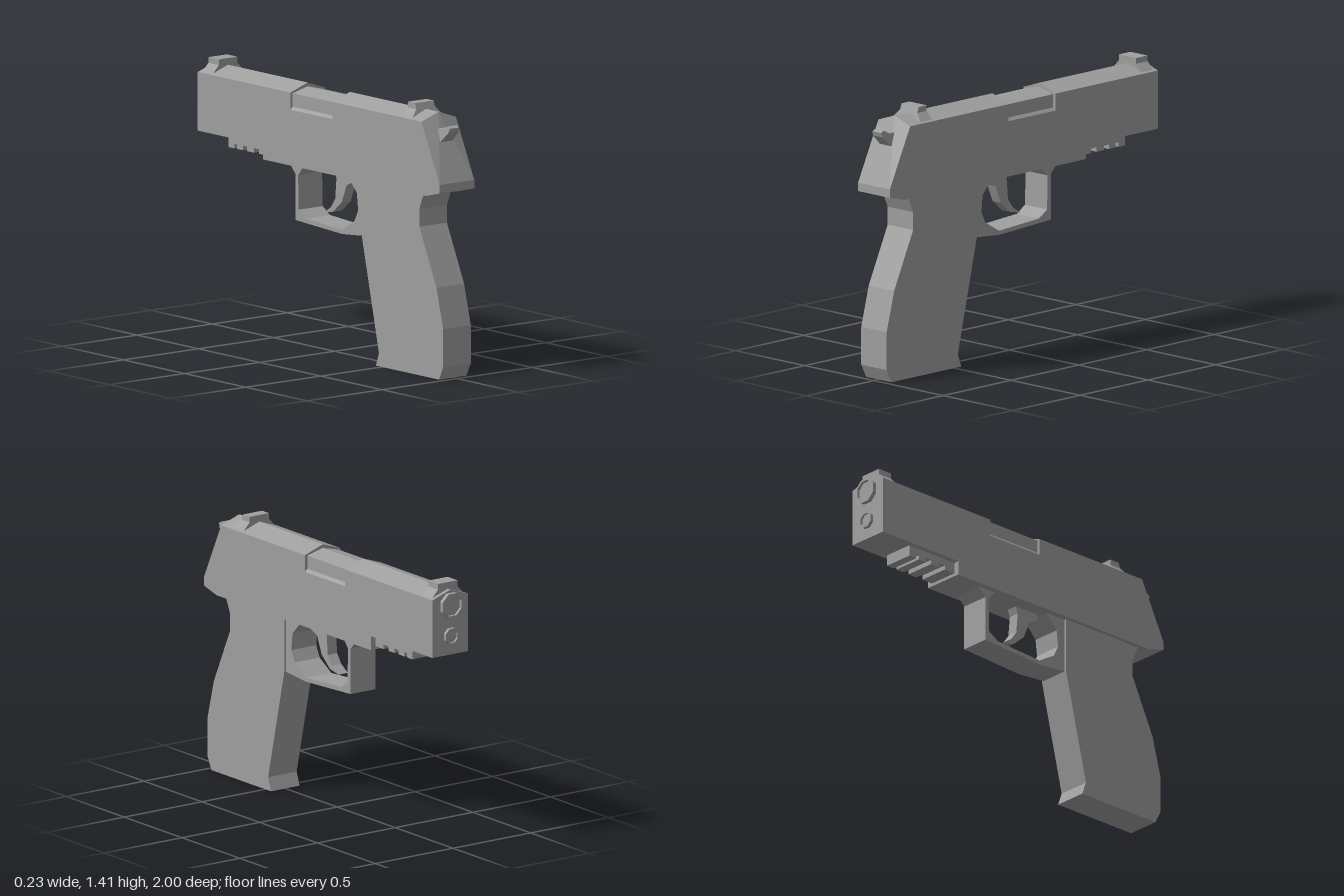
import * as THREE from 'three';
import { ConvexGeometry } from 'three/addons/geometries/ConvexGeometry.js';

export function createModel() {
  const model = new THREE.Group();
  const mat = new THREE.MeshStandardMaterial({ color: 0x9f9f9f, flatShading: true });

  const add = (name, geo) => {
    const mesh = new THREE.Mesh(geo, mat);
    mesh.name = name;
    model.add(mesh);
    return mesh;
  };
  const shapeOf = (pts) => new THREE.Shape(pts.map(([a, b]) => new THREE.Vector2(a, b)));

  // Side profile given as [z, y], extruded across x and centred
  const sideProfile = (name, pts, halfWidth) => {
    const geo = new THREE.ExtrudeGeometry(shapeOf(pts), { depth: halfWidth * 2, bevelEnabled: false });
    geo.translate(0, 0, -halfWidth);
    geo.rotateY(-Math.PI / 2);
    return add(name, geo);
  };

  // Half cross-section given as [x, y], mirrored and run from z0 to z1; lean slopes the rear end
  const crossSection = (name, half, z0, z1, lean = 0) => {
    const mirrored = half.filter(([x]) => x > 0).map(([x, y]) => [-x, y]).reverse();
    const geo = new THREE.ExtrudeGeometry(shapeOf([...half, ...mirrored]), { depth: z1 - z0, bevelEnabled: false });
    geo.translate(0, 0, z0);
    const p = geo.attributes.position;
    for (let i = 0; i < p.count; i++) {
      if (p.getZ(i) > z1 - 1e-4) p.setZ(i, z1 - lean * (p.getY(i) - half[0][1]));
    }
    geo.computeVertexNormals();
    return add(name, geo);
  };

  // Slide and frame, with the port cut into the top and the step under the nose
  sideProfile('slideBody', [
    [0.89, 0.957], [1.0, 0.985], [1.0, 1.03], [0.85, 1.34], [0.125, 1.34], [0.125, 1.25],
    [-0.22, 1.25], [-0.22, 1.34], [-0.977, 1.34], [-0.977, 1.032], [-0.445, 1.032], [-0.445, 0.957],
  ], 0.115);

  // Ridged top, in front of and behind the port
  const ridge = [[0.115, 1.34], [0, 1.38]];
  crossSection('frontRidge', ridge, -0.977, -0.22);
  crossSection('rearRidge', ridge, 0.125, 0.85);

  // Slightly folded back face of the slide, rising to the end of the ridge
  add('slideBack', new ConvexGeometry([
    [-0.115, 1.03, 1.0], [0.115, 1.03, 1.0], [-0.115, 1.34, 0.85], [0.115, 1.34, 0.85], [0, 1.38, 0.85],
  ].map((v) => new THREE.Vector3(...v))));

  // Chamber showing in the port
  crossSection('chamber', [[0.115, 1.25], [0.1, 1.265], [0.1, 1.335], [0, 1.36]], -0.22, 0.125);

  // Sights with flared feet
  const sight = [[0.1, 1.345], [0.062, 1.385], [0.062, 1.415]];
  crossSection('frontSight', sight, -0.955, -0.87);
  crossSection('rearSight', sight, 0.675, 0.758, 0.35);

  // Octagonal muzzle and guide rod, each with a recessed centre
  const ring = (name, y, r, reach, depth) => {
    const profile = [[r, 0], [r, reach], [r * 0.83, reach], [r * 0.83, reach - depth], [0, reach - depth]];
    const geo = new THREE.LatheGeometry(profile.map(([a, b]) => new THREE.Vector2(a, b)), 8, Math.PI / 8);
    geo.rotateX(-Math.PI / 2);
    const mesh = add(name, geo);
    mesh.position.set(0, y, -0.96);
    mesh.material = mat.clone();
    mesh.material.side = THREE.DoubleSide;
  };
  ring('muzzle', 1.298, 0.07, 0.04, 0.015);
  ring('guideRod', 1.133, 0.045, 0.035, 0.012);

  // Hammer, narrowing towards the top
  const hammer = sideProfile('hammer', [
    [0.86, 1.3], [0.92, 1.3], [0.96, 1.322], [0.98, 1.312], [0.972, 1.288], [0.91, 1.23], [0.86, 1.23],
  ], 0.042);
  const hp = hammer.geometry.attributes.position;
  for (let i = 0; i < hp.count; i++) hp.setX(i, hp.getX(i) * (1 - 3 * (hp.getY(i) - 1.23)));
  hammer.geometry.computeVertexNormals();

  // Grip
  sideProfile('grip', [
    [0.845, 0.965], [0.805, 0.875], [0.805, 0.78], [0.945, 0.48], [1.0, 0.27], [1.0, 0.07],
    [0.965, 0], [0.45, 0], [0.475, 0.07], [0.335, 0.665], [0.335, 0.965],
  ], 0.092);

  // Trigger guard, outer outline then inner outline
  sideProfile('triggerGuard', [
    [0.345, 0.965], [0.345, 0.664], [0.16, 0.648], [-0.223, 0.667], [-0.223, 0.91], [-0.275, 0.965],
    [-0.15, 0.965], [-0.2, 0.905], [-0.195, 0.725], [-0.135, 0.687], [0.16, 0.67], [0.26, 0.73],
    [0.29, 0.79], [0.28, 0.88], [0.2, 0.965],
  ], 0.08);

  // Trigger
  sideProfile('trigger', [
    [0.195, 0.97], [0.195, 0.92], [0.135, 0.895], [0.095, 0.8], [0.025, 0.74], [-0.05, 0.725],
    [0.005, 0.76], [0.042, 0.81], [0.052, 0.92], [0.032, 0.97],
  ], 0.03);

  // Accessory rail: a strip with four teeth below
  const rail = [[-0.445, 1.04], [-0.445, 0.973]];
  for (const [back, front] of [[-0.445, -0.513], [-0.555, -0.61], [-0.645, -0.695], [-0.715, -0.763]]) {
    if (back < -0.5) rail.push([back, 0.997], [back, 0.973]);
    rail.push([front, 0.973]);
    if (front > -0.75) rail.push([front, 0.997]);
  }
  rail.push([-0.763, 1.04]);
  sideProfile('rail', rail, 0.085);

  return model;
}
